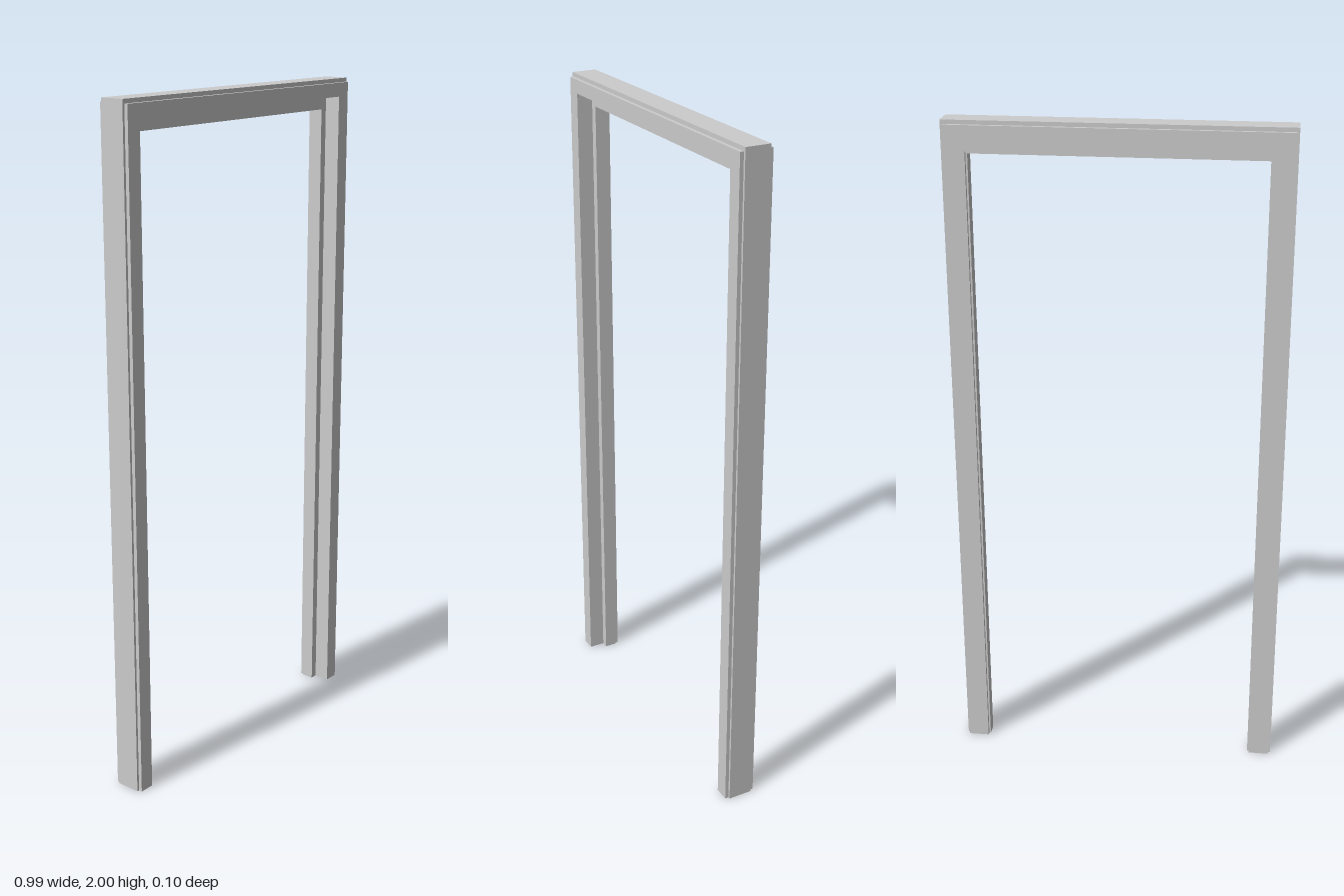
import * as THREE from 'three';

// Moulded section of the frame: [half width, height at the head, depth]
const PROFILE = [
  [0.494, 2, 0.0375], [0.487, 1.988, 0.0375],
  [0.487, 1.988, 0.0485], [0.442, 1.947, 0.0485],   // front casing
  [0.442, 1.947, 0], [0.42, 1.908, 0],              // door rebate and stop
  [0.42, 1.908, -0.0375], [0.425, 1.915, -0.0375],
  [0.425, 1.915, -0.0485], [0.487, 1.988, -0.0485], // back casing
  [0.487, 1.988, -0.0375], [0.494, 2, -0.0375],
];

// Section at a foot or at a mitred corner
const section = (side, atTop) =>
  PROFILE.map(([x, y, z]) => new THREE.Vector3(side * x, atTop ? y : 0, z));

const material = new THREE.MeshStandardMaterial({ color: 0xcccccc, flatShading: true });

// Skin between two sections, with an optional flat foot closing one of them
function buildLength(name, start, end, foot) {
  const points = [];
  start.forEach((a, i) => {
    const j = (i + 1) % start.length;
    points.push(a, end[i], start[j], start[j], end[i], end[j]);
  });
  if (foot) {
    const outline = foot.map((p) => new THREE.Vector2(p.x, p.z));
    for (const [i, j, k] of THREE.ShapeUtils.triangulateShape(outline, [])) {
      const [a, b, c] = [foot[i], foot[j], foot[k]];
      const facing = b.clone().sub(a).cross(c.clone().sub(a)).y;
      points.push(...(facing < 0 ? [a, b, c] : [a, c, b]));
    }
  }
  const geometry = new THREE.BufferGeometry().setFromPoints(points);
  geometry.computeVertexNormals();
  const mesh = new THREE.Mesh(geometry, material);
  mesh.name = name;
  return mesh;
}

export function createModel() {
  const group = new THREE.Group();
  group.name = 'doorFrame';
  const leftFoot = section(1, false), leftCorner = section(1, true);
  const rightCorner = section(-1, true), rightFoot = section(-1, false);
  group.add(
    buildLength('leftJamb', leftFoot, leftCorner, leftFoot),
    buildLength('head', leftCorner, rightCorner),
    buildLength('rightJamb', rightCorner, rightFoot, rightFoot),
  );
  return group;
}
